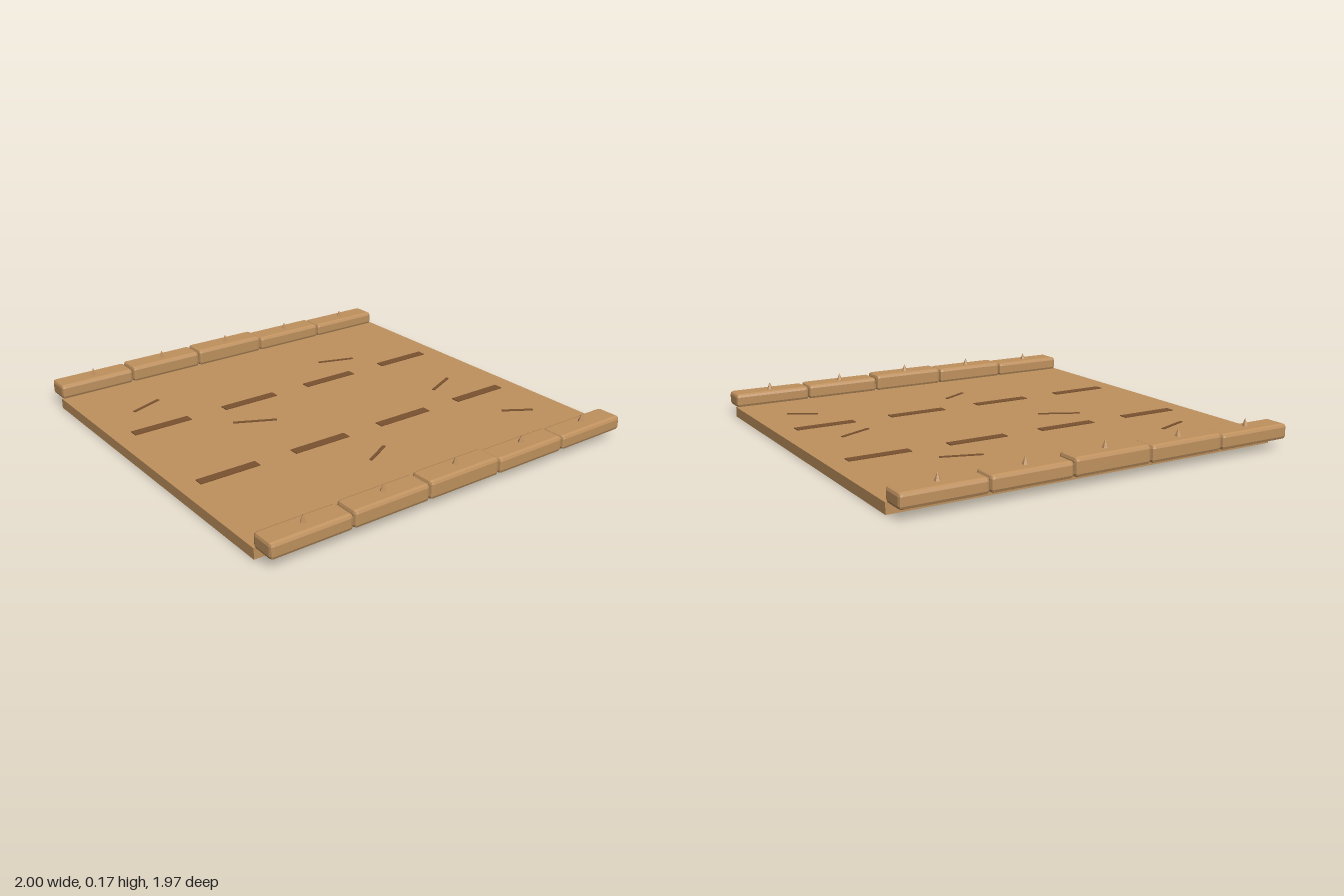
import * as THREE from 'three';
import { RoundedBoxGeometry } from 'three/addons/geometries/RoundedBoxGeometry.js';

export function createModel() {
  const model = new THREE.Group();
  model.name = 'roadTile';
  const sand = new THREE.MeshStandardMaterial({ name: 'sandBrown', color: 0xbf915e });
  const dark = new THREE.MeshStandardMaterial({ name: 'darkBrown', color: 0x7a5230 });

  const add = (name, geometry, material, x, y, z, parent = model) => {
    const mesh = new THREE.Mesh(geometry, material);
    mesh.name = name;
    mesh.position.set(x, y, z);
    parent.add(mesh);
    return mesh;
  };

  // Road slab
  const slabTop = 0.05;
  add('roadSlab', new THREE.BoxGeometry(1.774, slabTop, 1.974), sand, 0, slabTop / 2, 0);

  // Two rows of dashed lane markings
  for (const x of [-0.3, 0.3]) {
    for (let i = 0; i < 4; i++) {
      add('laneDash', new THREE.BoxGeometry(0.046, 0.006, 0.3), dark, x, slabTop + 0.001, (i - 1.5) * 0.492);
    }
  }

  // Cracks, each from (x1, z1) to (x2, z2)
  const cracks = [
    [0.06, -0.755, 0.135, -0.59],
    [0.61, -0.815, 0.53, -0.685],
    [-0.463, -0.53, -0.523, -0.345],
    [0.495, 0.03, 0.57, 0.167],
    [-0.035, 0.26, -0.128, 0.45],
    [-0.585, 0.605, -0.523, 0.77],
  ];
  for (const [x1, z1, x2, z2] of cracks) {
    const length = Math.hypot(x2 - x1, z2 - z1);
    const crack = add('crack', new THREE.BoxGeometry(0.015, 0.006, length), dark,
      (x1 + x2) / 2, slabTop + 0.001, (z1 + z2) / 2);
    crack.rotation.y = Math.atan2(x2 - x1, z2 - z1);
  }

  // Chamfered curb stones with small five-sided spikes, back to front
  const curbTops = [0.115, 0.12, 0.131, 0.126, 0.119];
  const curbBottom = 0.045;
  for (const side of [-1, 1]) {
    const curb = new THREE.Group();
    curb.name = side > 0 ? 'leftCurb' : 'rightCurb';
    model.add(curb);
    curbTops.forEach((top, i) => {
      const x = side * 0.937;
      const z = (i - 2) * 0.394;
      const height = top - curbBottom;
      const stone = new RoundedBoxGeometry(0.126, height, 0.39, 1, 0.016);
      stone.computeVertexNormals(); // faceted chamfers
      add('curbStone', stone, sand, x, curbBottom + height / 2, z, curb);
      const spike = new THREE.ConeGeometry(0.016, 0.04, 5).toNonIndexed();
      spike.computeVertexNormals();
      add('spike', spike, sand, side * 0.931, top + 0.016, z, curb);
    });
  }
  return model;
}
